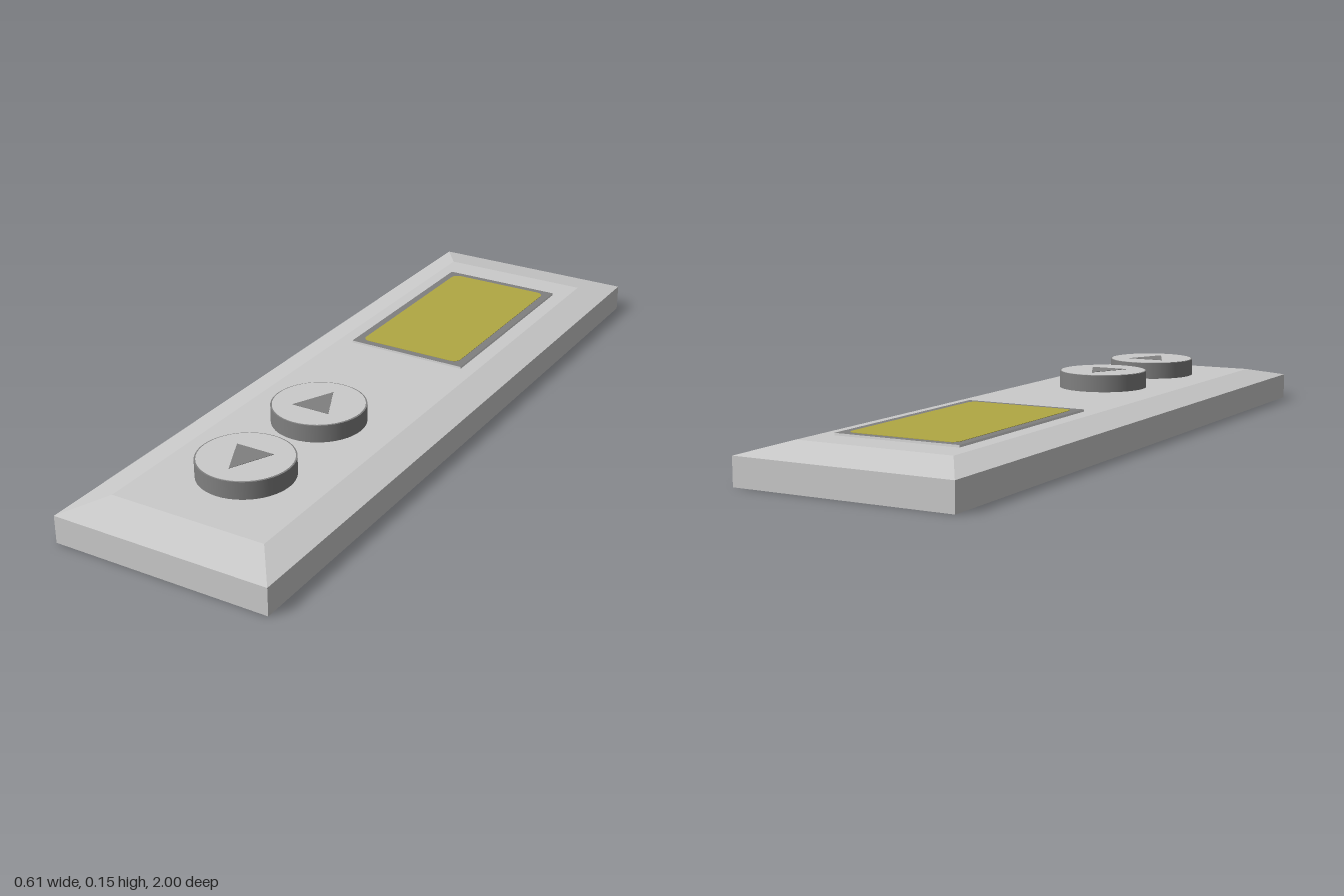
import * as THREE from 'three';

const flat = (name, color, side = THREE.FrontSide) => new THREE.MeshStandardMaterial({ name, color, side });

// Thin horizontal plate from a shape; shape y points to the back (-z)
function plate(name, shape, material, thickness = 0.002) {
  const geo = new THREE.ExtrudeGeometry(shape, { depth: thickness, bevelEnabled: false, curveSegments: 6 });
  geo.rotateX(-Math.PI / 2);
  const mesh = new THREE.Mesh(geo, material);
  mesh.name = name;
  return mesh;
}

function roundedRect(w, h, r) {
  const s = new THREE.Shape(), x = w / 2, y = h / 2;
  s.absarc(x - r, y - r, r, 0, Math.PI / 2);
  s.absarc(-x + r, y - r, r, Math.PI / 2, Math.PI);
  s.absarc(-x + r, -y + r, r, Math.PI, Math.PI * 1.5);
  s.absarc(x - r, -y + r, r, Math.PI * 1.5, Math.PI * 2);
  return s;
}

// Hollow casing, open underneath: stacked rectangles joined by flat faces
function casingGeometry() {
  const rings = [
    { y: 0, x: 0.305, front: 1, back: -1 },
    { y: 0.075, x: 0.305, front: 1, back: -1 },
    { y: 0.1, x: 0.22, front: 0.885, back: -0.87 },
  ].map(({ y, x, front, back }) => [[-x, y, front], [x, y, front], [x, y, back], [-x, y, back]]);
  const pos = [];
  const quad = (a, b, c, d) => pos.push(...a, ...b, ...c, ...a, ...c, ...d);
  for (let r = 0; r < 2; r++) {
    for (let i = 0; i < 4; i++) {
      const j = (i + 1) % 4;
      quad(rings[r][i], rings[r][j], rings[r + 1][j], rings[r + 1][i]);
    }
  }
  quad(...rings[2]);
  const geo = new THREE.BufferGeometry();
  geo.setAttribute('position', new THREE.Float32BufferAttribute(pos, 3));
  geo.computeVertexNormals();
  return geo;
}

export function createModel() {
  const shell = flat('light grey casing', 0xcbcbcb, THREE.DoubleSide);
  const pale = flat('pale grey display edge', 0xdcdcdc);
  const grey = flat('mid grey', 0x808080);
  const olive = flat('olive screen', 0xb1a843);

  const model = new THREE.Group();
  model.name = 'remoteControl';

  const casing = new THREE.Mesh(casingGeometry(), shell);
  casing.name = 'casing';
  model.add(casing);

  // Display block passing through the casing, with a screen above and below
  const display = new THREE.Group();
  display.name = 'display';
  display.position.z = -0.468;
  const frame = new THREE.Mesh(new THREE.BoxGeometry(0.354, 0.056, 0.617), [pale, pale, grey, grey, pale, pale]);
  frame.name = 'displayFrame';
  frame.position.y = 0.078;
  display.add(frame);
  for (const [name, y] of [['screen', 0.105], ['screenUnderside', 0.049]]) {
    const screen = plate(name, roundedRect(0.31, 0.575, 0.022), olive);
    screen.position.y = y;
    display.add(screen);
  }
  model.add(display);

  // Two round buttons with opposite arrows
  const arrow = new THREE.Shape([[-0.055, -0.042], [0.055, -0.042], [0, 0.072]].map(p => new THREE.Vector2(...p)));
  for (const [name, z, turn] of [['upButton', 0.302, 0], ['downButton', 0.637, Math.PI]]) {
    const button = new THREE.Group();
    button.name = name;
    button.position.z = z;
    button.rotation.y = turn;
    const body = new THREE.Mesh(new THREE.CylinderGeometry(0.127, 0.127, 0.053, 48), grey);
    body.name = 'buttonBody';
    body.position.y = 0.1215;
    const cap = new THREE.Mesh(new THREE.CylinderGeometry(0.123, 0.123, 0.002, 48), shell);
    cap.name = 'buttonCap';
    cap.position.y = 0.148;
    const mark = plate('buttonArrow', arrow, grey);
    mark.position.y = 0.148;
    button.add(body, cap, mark);
    model.add(button);
  }
  return model;
}
